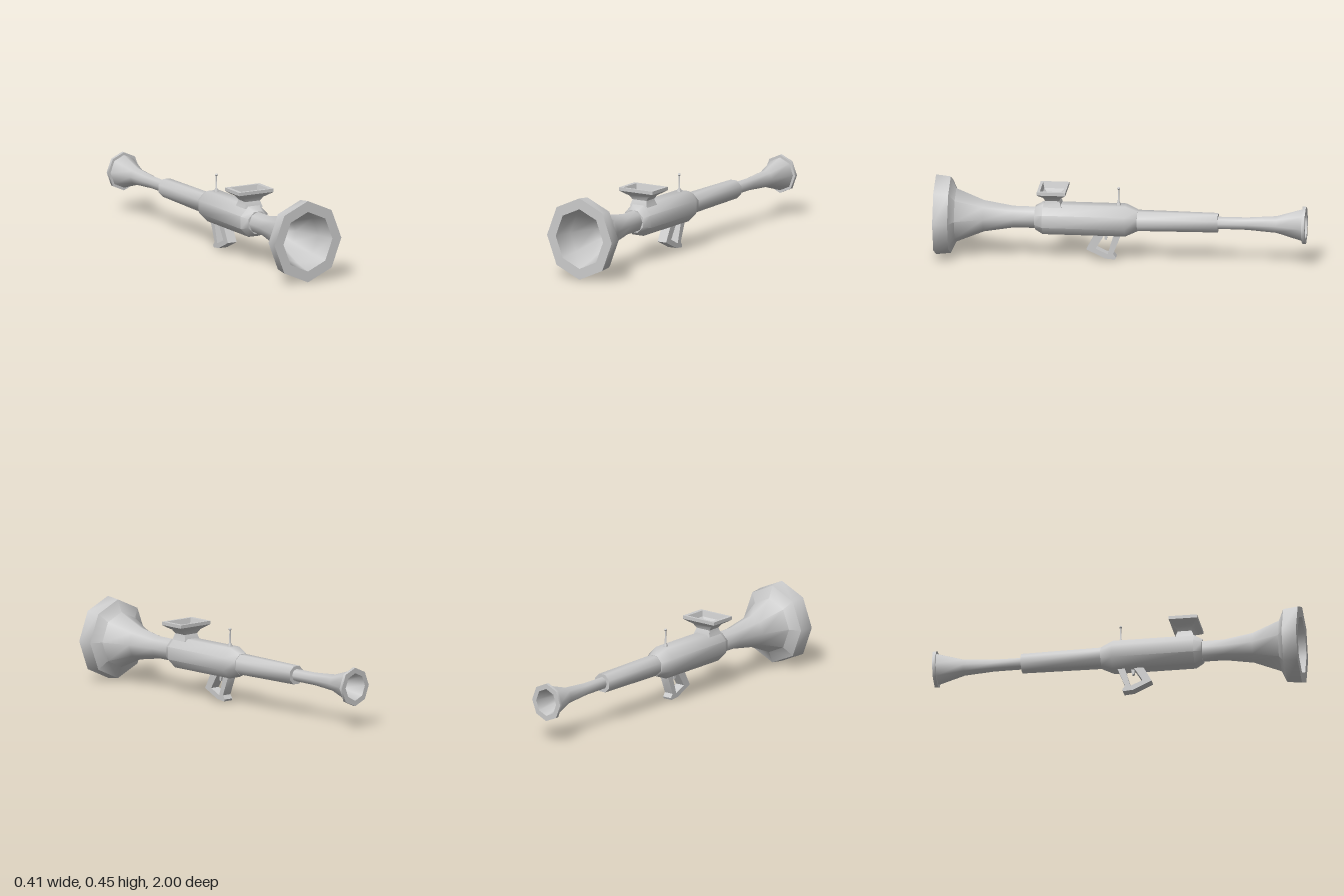
import * as THREE from 'three';
import { toCreasedNormals } from 'three/addons/utils/BufferGeometryUtils.js';

const material = new THREE.MeshStandardMaterial({ color: 0xcccccc, side: THREE.DoubleSide });
const AXIS_Y = 0.228;

function add(group, name, geometry, crease = 0.6) {
  const mesh = new THREE.Mesh(toCreasedNormals(geometry, crease), material);
  mesh.name = name;
  group.add(mesh);
  return mesh;
}

// Eight-sided turned part along z; profile holds [radius, z], listed from back to front on the outside
function turned(profile, turn = 0, squash = 1) {
  const points = profile.map(([r, z]) => new THREE.Vector2(r, z));
  return new THREE.LatheGeometry(points, 8, turn)
    .rotateX(Math.PI / 2)
    .scale(squash, 1, 1)
    .translate(0, AXIS_Y, 0);
}

// Rectangular loft through [halfX, halfZ, y] sections
function rectLoft(sections) {
  const positions = [];
  const corners = ([x, z, y]) => [[x, y, z], [x, y, -z], [-x, y, -z], [-x, y, z]];
  for (let i = 0; i < sections.length - 1; i++) {
    const a = corners(sections[i]), b = corners(sections[i + 1]);
    for (let k = 0; k < 4; k++) {
      const n = (k + 1) % 4;
      positions.push(...a[k], ...a[n], ...b[n], ...a[k], ...b[n], ...b[k]);
    }
  }
  const geometry = new THREE.BufferGeometry();
  geometry.setAttribute('position', new THREE.Float32BufferAttribute(positions, 3));
  geometry.computeVertexNormals();
  return geometry;
}

// Side-profile plate: shape points are [z, y], thickness runs along x
function plate(outline, hole, width) {
  const toVectors = (pts) => pts.map(([z, y]) => new THREE.Vector2(-z, y));
  const shape = new THREE.Shape(toVectors(outline));
  if (hole) shape.holes.push(new THREE.Path(toVectors(hole)));
  return new THREE.ExtrudeGeometry(shape, { depth: width, bevelEnabled: false })
    .translate(0, 0, -width / 2)
    .rotateY(Math.PI / 2);
}

export function createModel() {
  const model = new THREE.Group();
  model.name = 'launcher';
  const flat = Math.PI / 8;
  const squash = 0.925;
  const smooth = 0.88;

  // Large front bell with a heavy collar and a hollow throat
  add(model, 'frontBell', turned([
    [0.06, 0.44], [0.061, 0.58], [0.088, 0.74], [0.15, 0.89],
    [0.215, 0.92], [0.224, 1], [0.164, 1],
    [0.14, 0.89], [0.082, 0.74], [0.03, 0.6], [0, 0.58],
  ], 0, squash), smooth);

  // Main body, chamfered at both ends
  add(model, 'body', turned([
    [0, -0.09], [0.06, -0.09], [0.09, -0.025], [0.09, 0.42], [0.065, 0.463], [0, 0.463],
  ], flat), smooth);

  // Middle tube
  add(model, 'middleTube', turned([
    [0.03, -0.525], [0.053, -0.525], [0.058, -0.08],
  ], flat), smooth);

  // Slim rear horn with a flange and an open mouth
  add(model, 'rearHorn', turned([
    [0, -0.72], [0.025, -0.75], [0.04, -0.86], [0.075, -1],
    [0.105, -1], [0.105, -0.982], [0.09, -0.982],
    [0.047, -0.84], [0.035, -0.68], [0.034, -0.51],
  ], 0, squash), smooth);

  // Open sight box on a flared neck
  const sight = add(model, 'sight', rectLoft([
    [0.055, 0.05, 0.3], [0.048, 0.044, 0.32], [0.045, 0.038, 0.335], [0.06, 0.046, 0.355],
    [0.085, 0.06, 0.368], [0.107, 0.077, 0.382], [0.107, 0.077, 0.4],
    [0.086, 0.062, 0.4], [0.078, 0.055, 0.37], [0.032, 0.024, 0.345], [0, 0, 0.345],
  ]));
  sight.position.z = 0.368;

  // Rear aiming post with a ball tip
  const postProfile = [[0.014, 0.305], [0.012, 0.318], [0.005, 0.332], [0.004, 0.4]]
    .map(([r, y]) => new THREE.Vector2(r, y));
  const post = add(model, 'aimingPost', new THREE.LatheGeometry(postProfile, 8), 0.9);
  post.position.z = 0.013;
  const tip = add(model, 'aimingPostTip', new THREE.SphereGeometry(0.008, 8, 6), 0.9);
  tip.position.set(0, 0.404, 0.013);

  // Looped grip and trigger under the body
  add(model, 'grip', plate(
    [[0.13, 0.165], [0.185, 0.064], [0.083, 0.016], [0.03, 0.011], [0.025, 0.022],
      [0.04, 0.043], [0, 0.145], [0, 0.165]],
    [[0.083, 0.155], [0.135, 0.07], [0.07, 0.04], [0.036, 0.155]], 0.054));
  add(model, 'trigger', plate(
    [[0.09, 0.155], [0.088, 0.118], [0.077, 0.113], [0.068, 0.155]], null, 0.02));

  return model;
}
